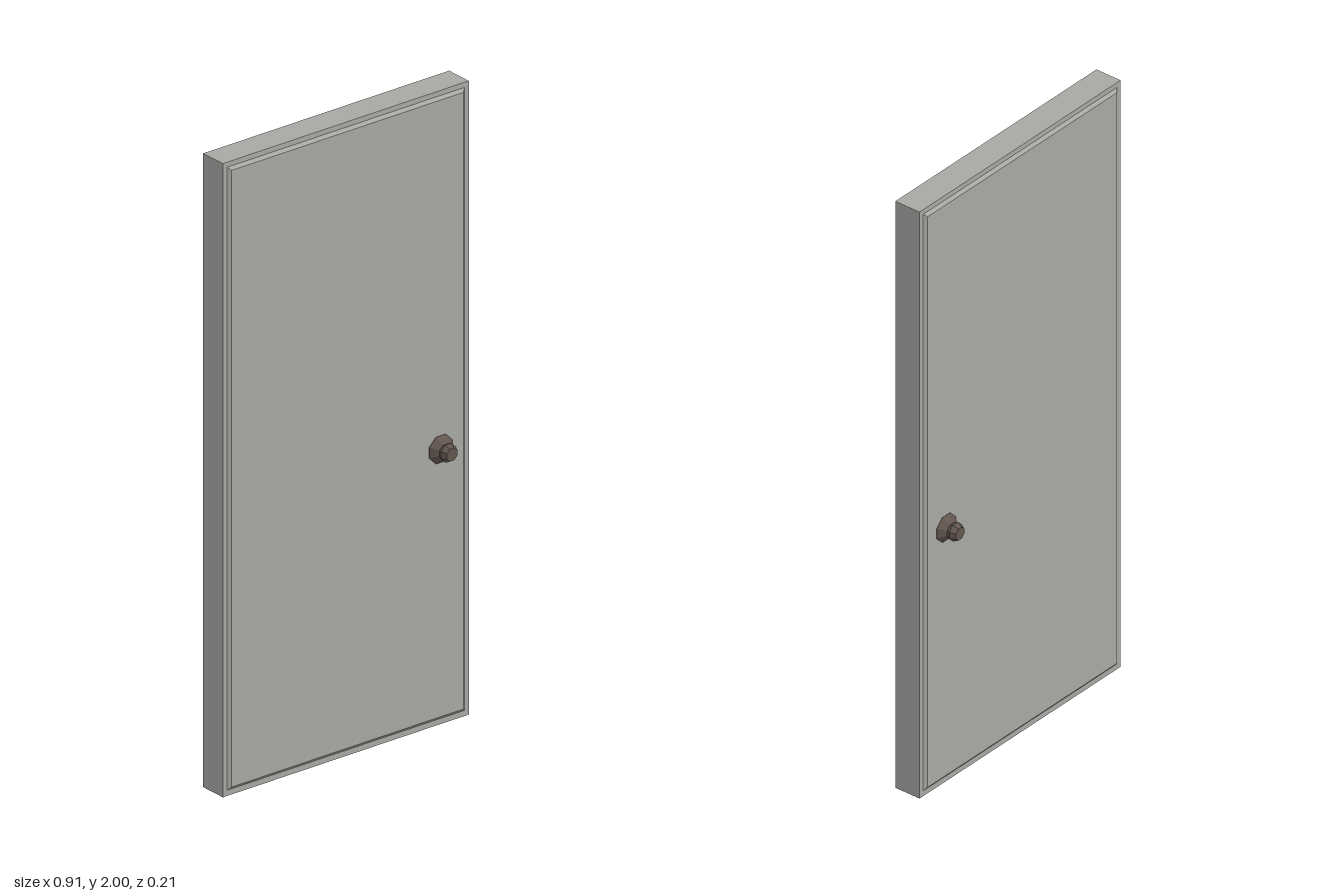
import * as THREE from 'three';

const paint = new THREE.MeshStandardMaterial({ color: 0xa7a7a4, flatShading: true });
const metal = new THREE.MeshStandardMaterial({ color: 0x62554e, flatShading: true });

const KNOB_X = 0.343, KNOB_Y = 0.873;
const SLAB_Z = 0.045, PANEL_Z = 0.053;

// Raised panel: a thin box whose outer face is drawn in to make a bevelled edge
function panelGeometry(width, height, depth, bevel) {
  const geo = new THREE.BoxGeometry(width, height, depth);
  const p = geo.attributes.position;
  for (let i = 0; i < p.count; i++) {
    if (p.getZ(i) > 0) {
      p.setX(i, p.getX(i) - Math.sign(p.getX(i)) * bevel);
      p.setY(i, p.getY(i) - Math.sign(p.getY(i)) * bevel);
    }
  }
  geo.computeVertexNormals();
  return geo;
}

// Eight-sided knob turned along +z: flared base, neck and faceted grip
function knobGeometry() {
  const profile = [
    [0.046, 0], [0.046, 0.002], [0.024, 0.023],
    [0.03, 0.036], [0.021, 0.053], [0, 0.053],
  ].map(([r, h]) => new THREE.Vector2(r, h));
  return new THREE.LatheGeometry(profile, 8, Math.PI / 8).rotateX(Math.PI / 2);
}

function addMesh(parent, name, geometry, material, x, y, z) {
  const mesh = new THREE.Mesh(geometry, material);
  mesh.name = name;
  mesh.position.set(x, y, z);
  parent.add(mesh);
  return mesh;
}

export function createModel() {
  const door = new THREE.Group();
  door.name = 'door';

  // Door slab
  addMesh(door, 'slab', new THREE.BoxGeometry(0.906, 2, SLAB_Z * 2), paint, 0, 1, 0);

  // The same panel and knob on both faces
  const panel = panelGeometry(0.874, 1.966, PANEL_Z - SLAB_Z, 0.01);
  const knob = knobGeometry();
  for (const [side, s] of [['front', 1], ['back', -1]]) {
    const turn = s > 0 ? 0 : Math.PI;
    addMesh(door, side + 'Panel', panel, paint, 0, 1.001, s * (SLAB_Z + PANEL_Z) / 2).rotation.y = turn;
    addMesh(door, side + 'Knob', knob, metal, KNOB_X, KNOB_Y, s * (PANEL_Z - 0.001)).rotation.y = turn;
  }

  return door;
}
